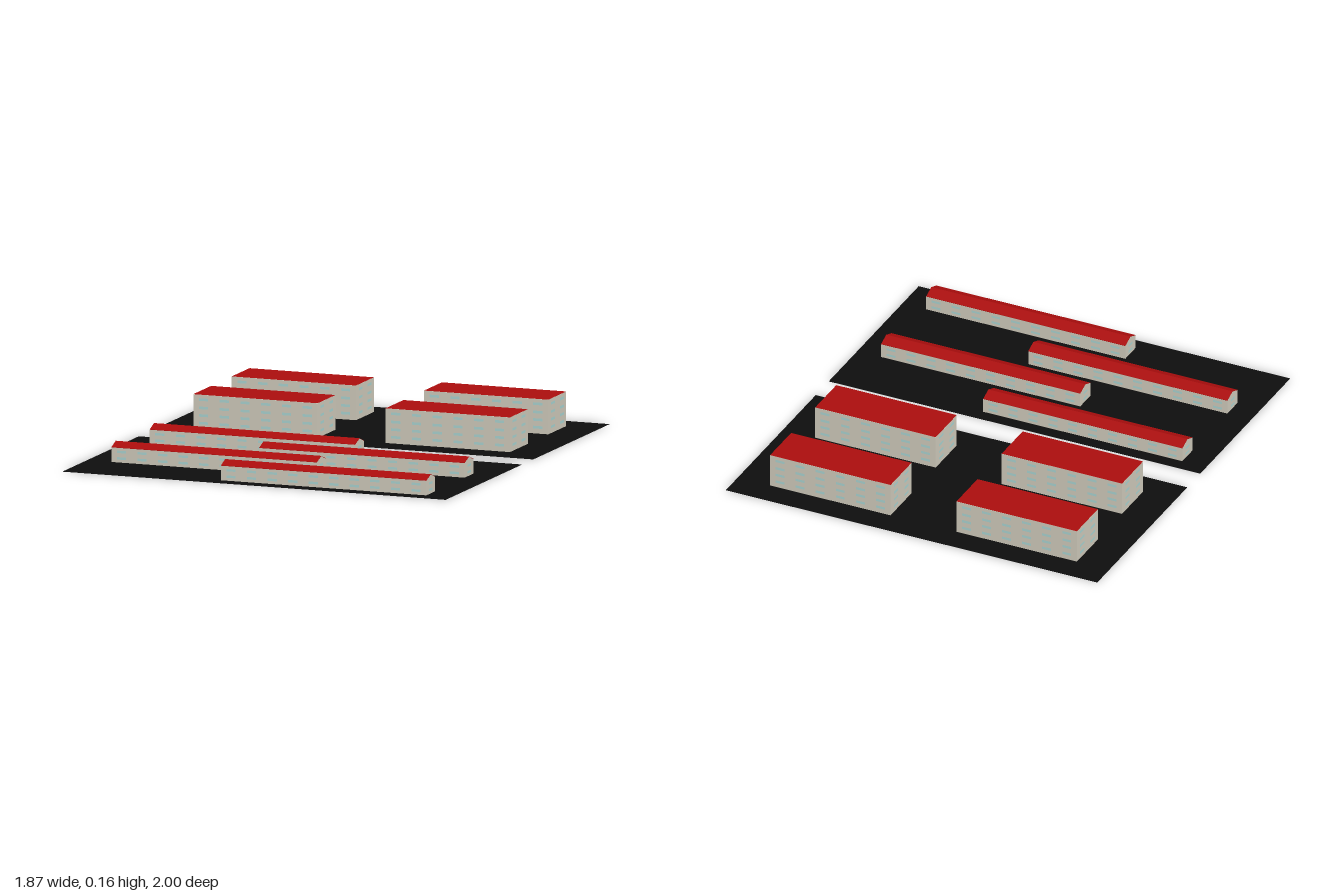
import * as THREE from 'three';

const mat = (color, side = THREE.FrontSide) => new THREE.MeshStandardMaterial({ color, side });
const wallMat = mat(0xcfcabb);
const roofMat = mat(0xaa0d0d);
const windowMat = mat(0xa9d3d0);
const groundMat = mat(0x0d0d0d, THREE.DoubleSide);
const BASE = 0.001;

function add(parent, name, geometry, material, x = 0, y = 0, z = 0) {
  const mesh = new THREE.Mesh(geometry, material);
  mesh.name = name;
  mesh.position.set(x, y, z);
  parent.add(mesh);
  return mesh;
}

// Flat window panes in a regular grid on one wall of a building
function addWindows(parent, { length, offset, turn, columns, rows, paneW, paneH }) {
  const wall = new THREE.Group();
  wall.name = 'windows';
  wall.rotation.y = turn;
  for (const y of rows) {
    for (let i = 0; i < columns; i++) {
      const x = ((i + 0.5) / columns - 0.5) * length;
      add(wall, 'window', new THREE.PlaneGeometry(paneW, paneH), windowMat, x, y, offset + 0.001);
    }
  }
  parent.add(wall);
}

// Tall flat-roofed apartment block
function apartmentBlock(x, z) {
  const block = new THREE.Group();
  block.name = 'apartmentBlock';
  block.position.set(x, 0, z);
  const w = 0.605, h = 0.16, d = 0.218;
  add(block, 'walls', new THREE.BoxGeometry(w, h - BASE, d), wallMat, 0, (h + BASE) / 2, 0);
  const roof = add(block, 'flatRoof', new THREE.PlaneGeometry(w, d), roofMat, 0, h + 0.0005, 0);
  roof.rotation.x = -Math.PI / 2;
  const rows = [0.03, 0.065, 0.1, 0.138];
  for (const turn of [0, Math.PI]) {
    addWindows(block, { length: w, offset: d / 2, turn, columns: 6, rows, paneW: 0.045, paneH: 0.012 });
    addWindows(block, { length: d, offset: w / 2, turn: turn + Math.PI / 2, columns: 2, rows, paneW: 0.045, paneH: 0.012 });
  }
  return block;
}

// Extrude a (z, y) outline along x, centred on x = 0
function extrudeAlongX(points, length) {
  const shape = new THREE.Shape(points.map(([z, y]) => new THREE.Vector2(-z, y)));
  const geometry = new THREE.ExtrudeGeometry(shape, { depth: length, bevelEnabled: false });
  return geometry.translate(0, 0, -length / 2).rotateY(Math.PI / 2);
}

// Long low row house with a shallow gable roof
function rowHouse(x, z) {
  const house = new THREE.Group();
  house.name = 'rowHouse';
  house.position.set(x, 0, z);
  const length = 1, half = 0.053, eave = 0.068, ridge = 0.088, t = 0.0015;
  add(house, 'walls', extrudeAlongX(
    [[-half, BASE], [half, BASE], [half, eave], [0, ridge], [-half, eave]], length), wallMat);
  add(house, 'gableRoof', extrudeAlongX(
    [[-half, eave], [0, ridge], [half, eave], [half, eave + t], [0, ridge + t], [-half, eave + t]], length), roofMat);
  for (const turn of [0, Math.PI]) {
    addWindows(house, { length, offset: half, turn, columns: 10, rows: [0.02, 0.05], paneW: 0.045, paneH: 0.011 });
    addWindows(house, { length: half * 2, offset: length / 2, turn: turn + Math.PI / 2, columns: 1, rows: [0.02, 0.05], paneW: 0.04, paneH: 0.011 });
  }
  return house;
}

export function createModel() {
  const model = new THREE.Group();
  model.name = 'housingEstate';

  // Two dark plots with a gap between them
  for (const side of [-1, 1]) {
    const plot = add(model, 'groundPlot', new THREE.PlaneGeometry(1.866, 0.933), groundMat, 0, 0, side * 0.5335);
    plot.rotation.x = -Math.PI / 2;
  }

  // Four apartment blocks on the rear plot
  for (const x of [-0.468, 0.468]) {
    for (const z of [-0.767, -0.299]) model.add(apartmentBlock(x, z));
  }

  // Four staggered row houses on the front plot
  for (let i = 0; i < 4; i++) {
    model.add(rowHouse(i % 2 ? 0.313 : -0.313, 0.182 + i * 0.2335));
  }
  return model;
}
